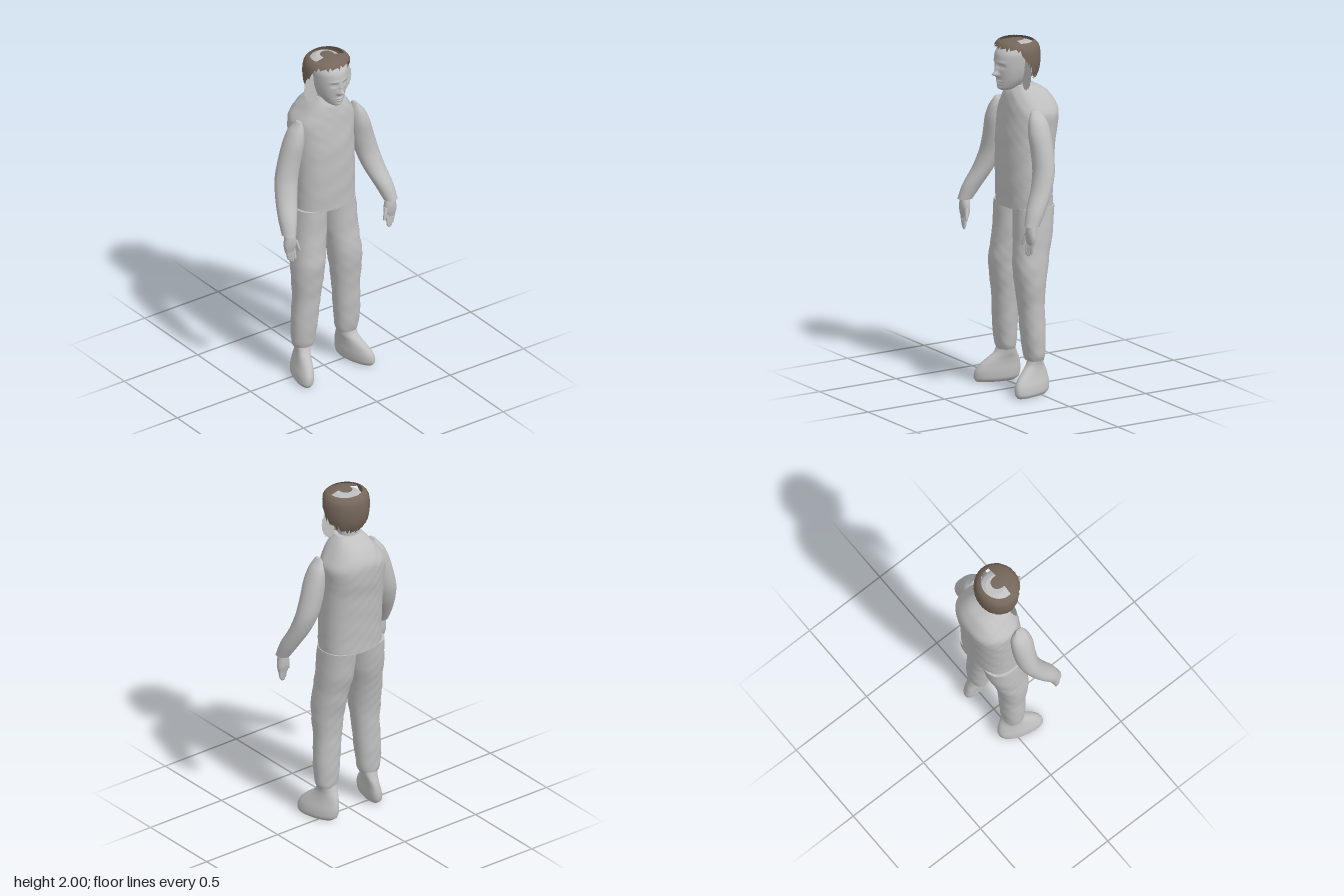
import * as THREE from 'three';

const grey = new THREE.MeshStandardMaterial({ color: 0xc0c0c0 });
grey.name = 'lightGrey';
const greySheet = new THREE.MeshStandardMaterial({ color: 0xc2c2c2, side: THREE.DoubleSide });
greySheet.name = 'sheetGrey';
const brown = new THREE.MeshStandardMaterial({ color: 0x75675b, side: THREE.DoubleSide });
brown.name = 'hairBrown';

// Closed body through horizontal sections [y, xMin, xMax, zBack, zFront], listed upwards.
function loft(sections, { segs = 32, rows = 32, power = 2.2, side = 1, deform = null } = {}) {
  const cx = new THREE.CatmullRomCurve3(
    sections.map(([y, a, b]) => new THREE.Vector3(y, a, b)), false, 'catmullrom', 0.45);
  const cz = new THREE.CatmullRomCurve3(
    sections.map(([, , , a, b]) => new THREE.Vector3(a, b, 0)), false, 'catmullrom', 0.45);
  const pos = [], index = [], v = new THREE.Vector3();
  const bend = (c) => Math.sign(c) * Math.abs(c) ** (2 / power);
  const ring = (t) => {
    const { x: y, y: x0, z: x1 } = cx.getPoint(t), { x: z0, y: z1 } = cz.getPoint(t);
    for (let j = 0; j < segs; j++) {
      const a = (j / segs) * Math.PI * 2 + 0.0001;
      v.set(side * (x0 + x1) / 2 + bend(Math.cos(a)) * (x1 - x0) / 2, y,
        (z0 + z1) / 2 + bend(Math.sin(a)) * (z1 - z0) / 2);
      if (deform) deform(v, side);
      pos.push(v.x, v.y, v.z);
    }
  };
  for (let i = 0; i <= rows; i++) ring(i / rows);
  for (let i = 0; i < rows; i++) {
    for (let j = 0; j < segs; j++) {
      const k = (j + 1) % segs, a = i * segs + j, b = i * segs + k;
      index.push(a, a + segs, b, b, a + segs, b + segs);
    }
  }
  // end caps with their own rim, so the edge stays sharp
  for (const t of [0, 1]) {
    const start = pos.length / 3;
    ring(t);
    const mid = [0, 0, 0];
    for (let j = 0; j < segs; j++) for (let c = 0; c < 3; c++) mid[c] += pos[(start + j) * 3 + c] / segs;
    pos.push(...mid);
    for (let j = 0; j < segs; j++) {
      const a = start + j, b = start + (j + 1) % segs;
      index.push(start + segs, ...(t ? [b, a] : [a, b]));
    }
  }
  const g = new THREE.BufferGeometry();
  g.setAttribute('position', new THREE.Float32BufferAttribute(pos, 3));
  g.setIndex(index);
  g.computeVertexNormals();
  return g;
}

// Soft cloth ripples
const cloth = (v) => {
  const n = Math.sin(v.y * 62 + v.x * 31) * Math.sin(v.x * 47 - v.z * 38 + v.y * 17);
  v.z += 0.0018 * n;
  v.x += 0.0012 * n;
};

// Face relief pushed out of the front of the head
const bump = (v, x, y, sx, sy, h) => h * Math.exp(-(((v.x - x) / sx) ** 2) - ((v.y - y) / sy) ** 2);
const face = (v) => {
  if (v.z < 0.06) return;
  let d = bump(v, 0, 1.815, 0.014, 0.014, 0.032) + bump(v, 0, 1.845, 0.01, 0.025, 0.015);
  d += bump(v, 0, 1.772, 0.026, 0.006, 0.008) + bump(v, 0, 1.758, 0.022, 0.005, 0.007);
  d += bump(v, 0, 1.735, 0.022, 0.012, 0.006) - bump(v, 0, 1.765, 0.026, 0.0025, 0.004);
  for (const s of [-1, 1]) {
    d += bump(v, s * 0.035, 1.885, 0.025, 0.007, 0.004) - bump(v, s * 0.034, 1.862, 0.018, 0.011, 0.011);
    d += bump(v, s * 0.034, 1.861, 0.009, 0.005, 0.006) + bump(v, s * 0.014, 1.81, 0.007, 0.008, 0.008);
  }
  v.z += d;
};

// Hair wraps the head; the ragged hem is high at the forehead and low at the nape
function hairGeometry() {
  const profile = new THREE.CatmullRomCurve3([[0.7, 1.993], [0.84, 1.982], [0.97, 1.95], [1, 1.9], [0.94, 1.83], [0.62, 1.75]]
    .map(([r, y]) => new THREE.Vector3(r, y, 0)));
  const segs = 72, rows = 14, pos = [], index = [];
  for (let j = 0; j < segs; j++) {
    const a = (j / segs) * Math.PI * 2, f = Math.sin(a);
    const end = f > 0.5 ? 0.4 : f > 0 ? 0.8 - 0.8 * f : 0.8 - 0.2 * f;
    const hem = end - (j % 2) * 0.06 - (j % 3) * 0.03;
    for (let i = 0; i <= rows; i++) {
      const p = profile.getPoint(hem * i / rows), r = p.x + (j % 2) * 0.015;
      pos.push(Math.cos(a) * r * 0.138, p.y, 0.027 + f * r * 0.127);
    }
  }
  for (let j = 0; j < segs; j++) {
    for (let i = 0; i < rows; i++) {
      const a = j * (rows + 1) + i, b = ((j + 1) % segs) * (rows + 1) + i;
      index.push(a, b, a + 1, b, b + 1, a + 1);
    }
  }
  const g = new THREE.BufferGeometry();
  g.setAttribute('position', new THREE.Float32BufferAttribute(pos, 3));
  g.setIndex(index);
  g.computeVertexNormals();
  return g;
}

// Domed sheet of hair on the crown; edge(u) gives its back and front z
function crownSheet(halfWidth, edge, lift) {
  const g = new THREE.PlaneGeometry(2, 1, 16, 8).rotateX(-Math.PI / 2);
  const p = g.attributes.position;
  for (let i = 0; i < p.count; i++) {
    const u = p.getX(i), [z0, z1] = edge(u), x = u * halfWidth;
    const z = z0 + (z1 - z0) * (p.getZ(i) + 0.5);
    p.setXYZ(i, x, 1.996 + lift - 1.8 * (x * x + (z - 0.03) ** 2), z);
  }
  g.computeVertexNormals();
  return g;
}

export function createModel() {
  const model = new THREE.Group();
  model.name = 'standingFigure';
  const add = (name, geometry, material = grey) => {
    const mesh = new THREE.Mesh(geometry, material);
    mesh.name = name;
    model.add(mesh);
  };

  add('jacket', loft([
    [1.05, -0.18, 0.19, -0.15, 0.115], [1.2, -0.18, 0.19, -0.155, 0.12],
    [1.4, -0.182, 0.188, -0.17, 0.12], [1.5, -0.182, 0.19, -0.185, 0.115],
    [1.59, -0.178, 0.195, -0.19, 0.105], [1.65, -0.14, 0.162, -0.172, 0.1],
    [1.7, -0.105, 0.125, -0.135, 0.09], [1.745, -0.07, 0.085, -0.065, 0.065],
  ], { segs: 56, rows: 56, power: 2.4, deform: cloth }));

  add('neck', loft([[1.66, -0.06, 0.06, -0.06, 0.06], [1.74, -0.058, 0.058, -0.055, 0.065],
    [1.82, -0.06, 0.06, -0.055, 0.06]], { power: 2 }));

  add('head', loft([
    [1.72, -0.022, 0.022, 0.07, 0.13], [1.735, -0.045, 0.045, 0.02, 0.145],
    [1.78, -0.074, 0.074, -0.035, 0.151], [1.83, -0.09, 0.09, -0.07, 0.157],
    [1.88, -0.097, 0.097, -0.085, 0.16], [1.93, -0.099, 0.099, -0.085, 0.152],
    [1.968, -0.085, 0.085, -0.075, 0.12], [1.984, -0.055, 0.055, -0.045, 0.085],
  ], { segs: 96, rows: 90, power: 2.1, deform: face }));

  // Hair: wrap, front crown and centre parting strip
  add('hairWrap', hairGeometry(), brown);
  add('frontHair', crownSheet(0.112, (u) => [0.045, 0.045 + 0.088 * Math.sqrt(1 - 0.85 * u * u)], 0), brown);
  add('centreHair', crownSheet(0.038, (u) => [0.025 - 0.037 * Math.sqrt(1 - u * u), 0.12], 0.004), brown);

  for (const side of [1, -1]) {
    const label = side > 0 ? 'left' : 'right';
    const build = (sections, options) => loft(sections, { side, ...options });

    add(label + 'TrouserLeg', build([
      [0.19, 0.09, 0.205, -0.042, 0.055], [0.23, 0.078, 0.218, -0.048, 0.066],
      [0.35, 0.065, 0.222, -0.052, 0.08], [0.5, 0.052, 0.215, -0.052, 0.09],
      [0.62, 0.037, 0.222, -0.06, 0.105], [0.72, 0.028, 0.22, -0.08, 0.115],
      [0.8, 0.018, 0.212, -0.095, 0.108], [0.9, 0.004, 0.207, -0.12, 0.1], [1.06, -0.002, 0.195, -0.14, 0.1],
    ], { rows: 48, segs: 40, deform: cloth }));

    // Shoe turned outwards towards the toe
    add(label + 'Shoe', build([
      [0, 0.135, 0.215, -0.055, 0.155], [0.02, 0.12, 0.225, -0.078, 0.168],
      [0.06, 0.115, 0.22, -0.085, 0.165], [0.1, 0.115, 0.207, -0.08, 0.14],
      [0.135, 0.112, 0.198, -0.07, 0.1], [0.165, 0.105, 0.195, -0.055, 0.065], [0.2, 0.1, 0.2, -0.042, 0.046],
    ], { deform: (v, s) => { v.x += s * 0.25 * v.z; } }));

    add(label + 'Sleeve', build([
      [1.02, 0.305, 0.385, 0.105, 0.19], [1.1, 0.275, 0.38, 0.055, 0.165],
      [1.2, 0.235, 0.362, 0, 0.115], [1.3, 0.205, 0.342, -0.035, 0.085],
      [1.4, 0.18, 0.315, -0.045, 0.08], [1.5, 0.165, 0.283, -0.045, 0.085],
      [1.57, 0.163, 0.25, -0.035, 0.075], [1.61, 0.172, 0.217, -0.01, 0.06], [1.63, 0.182, 0.2, 0.005, 0.05],
    ], { power: 2, rows: 40 }));

    add(label + 'Palm', build([
      [0.91, 0.312, 0.372, 0.138, 0.165], [0.95, 0.302, 0.38, 0.128, 0.175],
      [0.99, 0.305, 0.377, 0.125, 0.178], [1.04, 0.32, 0.37, 0.125, 0.172],
    ], { rows: 14, segs: 24 }));

    // Digits taper from knuckle [x, y, z] to tip
    const digit = (name, [x0, y0, z0], [x1, y1, z1], r) => add(name, build(
      [[0, 0.2], [0.08, 0.7], [0.5, 0.95], [1, 1]].map(([t, k]) => {
        const x = x1 + (x0 - x1) * t, z = z1 + (z0 - z1) * t;
        return [y1 + (y0 - y1) * t, x - r * k, x + r * k, z - r * k, z + r * k];
      }), { segs: 12, rows: 10, power: 2 }));
    [0.862, 0.85, 0.846, 0.858].forEach((tip, i) =>
      digit(`${label}Finger${i + 1}`, [0.365 - 0.015 * i, 0.94, 0.154], [0.352 - 0.012 * i, tip, 0.156 + 0.004 * i], 0.0098));
    digit(label + 'Thumb', [0.308, 0.975, 0.16], [0.288, 0.905, 0.172], 0.011);

    // Ragged side lock standing beside the cheek
    const lock = new THREE.Shape();
    lock.moveTo(side * 0.085, 1.92);
    lock.lineTo(side * 0.135, 1.925);
    for (let i = 0; i <= 16; i++) {
      const a = 1.0 - i * 0.165;
      const r = 1 - (i % 2) * 0.07;
      lock.lineTo(side * (0.095 + 0.068 * Math.cos(a) * r), 1.82 + 0.098 * Math.sin(a) * r);
    }
    lock.lineTo(side * 0.07, 1.76);
    const sheet = new THREE.ShapeGeometry(lock);
    sheet.translate(0, 0, 0.035);
    add(label + 'SideLock', sheet, greySheet);
  }
  return model;
}
